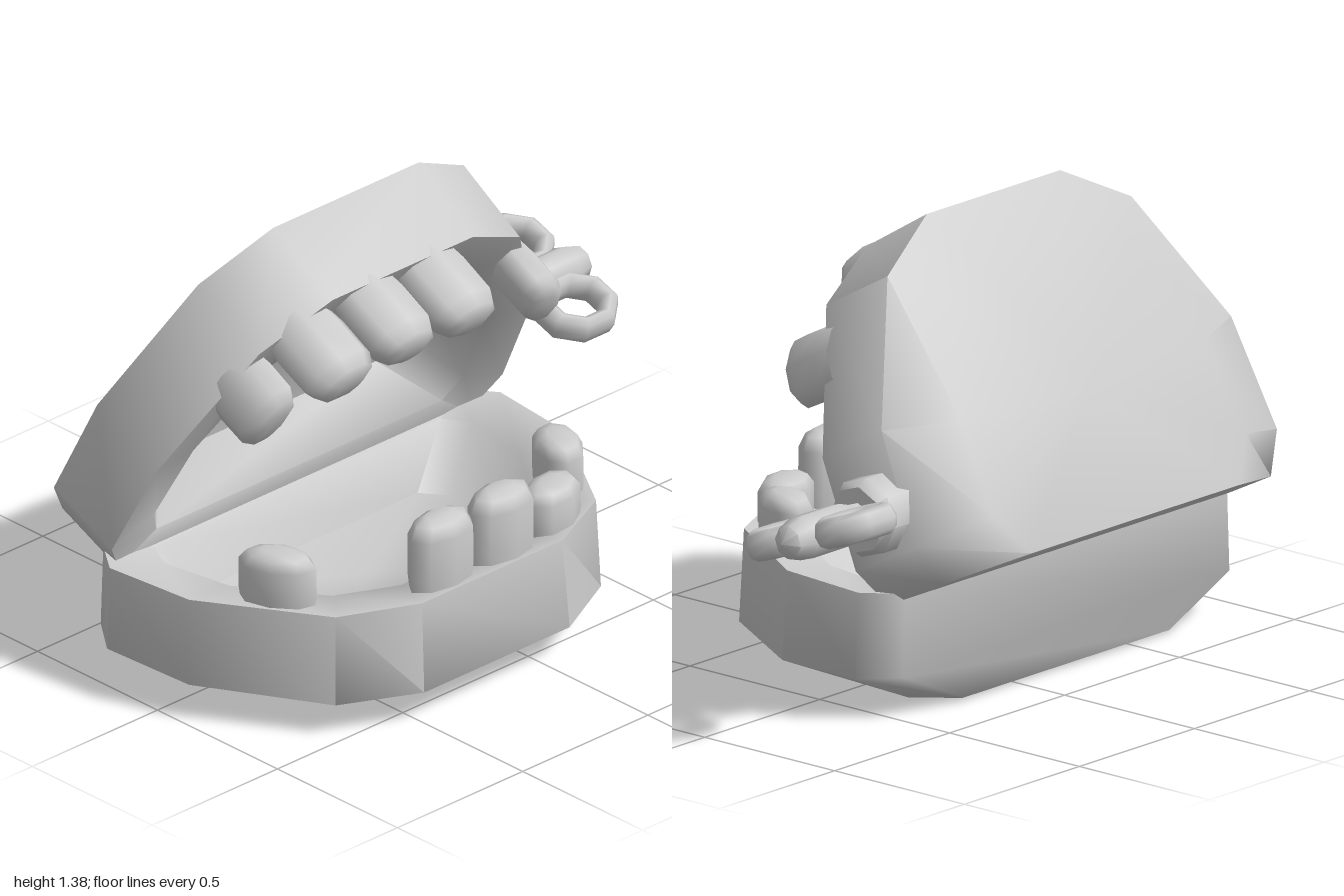
import * as THREE from 'three';
import { toCreasedNormals } from 'three/addons/utils/BufferGeometryUtils.js';

const material = new THREE.MeshStandardMaterial({ color: 0xcccccc });

function add(parent, geometry, name, x = 0, y = 0, z = 0) {
  const mesh = new THREE.Mesh(geometry, material);
  mesh.name = name;
  mesh.position.set(x, y, z);
  parent.add(mesh);
  return mesh;
}

// Half loops from hinge to front, as [half width, forward, depth from rim].
// They run from the mouth floor over the rim and around to the outer face.
const jawLoops = [
  [[0, 0.38, 0.2], [0, 0.38, 0.2], [0, 0.38, 0.2], [0, 0.38, 0.2], [0, 0.38, 0.2]],
  [[0.44, 0.12, 0.2], [0.5, 0.2, 0.2], [0.48, 0.4, 0.2], [0.36, 0.6, 0.2], [0.2, 0.67, 0.2]],
  [[0.57, 0.08, 0.02], [0.62, 0.16, 0.02], [0.58, 0.4, 0.02], [0.41, 0.65, 0.02], [0.22, 0.74, 0.02]],
  [[0.7, 0, 0], [0.78, 0.11, 0], [0.75, 0.41, 0], [0.52, 0.78, 0], [0.28, 0.89, 0]],
  [[0.71, 0, 0.25], [0.79, 0.11, 0.26], [0.76, 0.42, 0.27], [0.53, 0.79, 0.28], [0.29, 0.91, 0.28]],
  [[0.45, 0, 0.37], [0.55, 0.12, 0.37], [0.53, 0.38, 0.36], [0.38, 0.66, 0.355], [0.22, 0.75, 0.35]],
  [[0, 0.35, 0.38], [0, 0.35, 0.38], [0, 0.35, 0.38], [0, 0.35, 0.38], [0, 0.35, 0.38]],
];

// Hollow jaw; side is -1 for the lower jaw, 1 for the upper one
function jawGeometry(side, stretch) {
  const positions = [];
  const index = [];
  const n = 10;
  for (const half of jawLoops) {
    const loop = [...half, ...half.map(([x, v, d]) => [-x, v, d]).reverse()];
    for (const [x, v, d] of loop) positions.push(x, side * d, v * stretch);
  }
  const face = (a, b, c) => (side < 0 ? index.push(a, b, c) : index.push(a, c, b));
  for (let k = 0; k < jawLoops.length - 1; k++) {
    for (let i = 0; i < n; i++) {
      const a = k * n + i, b = k * n + ((i + 1) % n);
      if (k > 0) face(a, b, a + n);
      if (k < jawLoops.length - 2) face(b, b + n, a + n);
    }
  }
  const geometry = new THREE.BufferGeometry();
  geometry.setAttribute('position', new THREE.Float32BufferAttribute(positions, 3));
  geometry.setIndex(index);
  return toCreasedNormals(geometry, 1.25);
}

// Rounded tooth with its root at y = 0
const toothProfile = [[0.92, 0], [1, 0.3], [0.99, 0.78], [0.78, 0.94], [0.42, 1], [0, 1]]
  .map(([r, y]) => new THREE.Vector2(r, y));

function addTeeth(jaw, teeth, side) {
  for (const [x, v, width, thickness, height, turn] of teeth) {
    const geometry = new THREE.LatheGeometry(toothProfile, 8, Math.PI / 2);
    geometry.scale(width / 2, height + 0.04, thickness / 2);
    if (side > 0) geometry.rotateX(Math.PI);
    add(jaw, geometry, 'tooth', x, side * 0.04, v).rotation.y = turn;
  }
}

export function createModel() {
  const model = new THREE.Group();
  model.name = 'windUpTeeth';

  // Lower jaw
  const lower = new THREE.Group();
  lower.name = 'lowerJaw';
  lower.position.set(-0.21, 0.38, -0.32);
  add(lower, jawGeometry(-1, 1), 'lowerGum');
  addTeeth(lower, [
    [-0.13, 0.81, 0.24, 0.14, 0.21, 0],
    [0.11, 0.81, 0.24, 0.14, 0.21, 0],
    [0.35, 0.77, 0.23, 0.15, 0.125, 0.3],
    [0.53, 0.61, 0.23, 0.15, 0.15, 1.1],
    [-0.55, 0.57, 0.24, 0.15, 0.15, -1.1],
  ], -1);
  model.add(lower);

  // Upper jaw, swung open at the hinge
  const upper = new THREE.Group();
  upper.name = 'upperJaw';
  upper.position.set(-0.21, 0.332, -0.257);
  upper.rotation.x = -1.1;
  add(upper, jawGeometry(1, 1.13), 'upperGum');
  addTeeth(upper, [
    [-0.115, 0.93, 0.24, 0.17, 0.22, 0],
    [0.13, 0.93, 0.24, 0.17, 0.22, 0],
    [-0.35, 0.89, 0.24, 0.17, 0.22, -0.3],
    [-0.53, 0.74, 0.23, 0.15, 0.16, -1.1],
    [0.565, 0.72, 0.23, 0.15, 0.16, 1.1],
  ], 1);
  model.add(upper);

  // Winding key on the left side
  const key = new THREE.Group();
  key.name = 'windingKey';
  key.position.set(0, 0.635, -0.285);
  key.rotation.x = 0.33;
  const turned = (points) => {
    const geometry = new THREE.LatheGeometry(points.map(([r, y]) => new THREE.Vector2(r, y)), 8, Math.PI / 8);
    return toCreasedNormals(geometry.rotateZ(-Math.PI / 2), 0.9);
  };
  add(key, turned([[0, 0.48], [0.12, 0.48], [0.12, 0.63], [0.1, 0.66], [0, 0.66]]), 'keyHub');
  add(key, turned([[0.05, 0.64], [0.055, 0.7], [0.068, 0.74], [0.068, 0.9], [0.05, 0.96], [0, 0.99]]), 'keyStem');
  for (const s of [-1, 1]) {
    const ring = new THREE.TorusGeometry(0.1, 0.032, 8, 8);
    ring.rotateZ(Math.PI / 8).rotateX(Math.PI / 2).scale(1.05, 1.4, 0.92);
    add(key, ring, 'keyLoop', 0.815, 0, s * 0.14);
  }
  model.add(key);
  return model;
}
